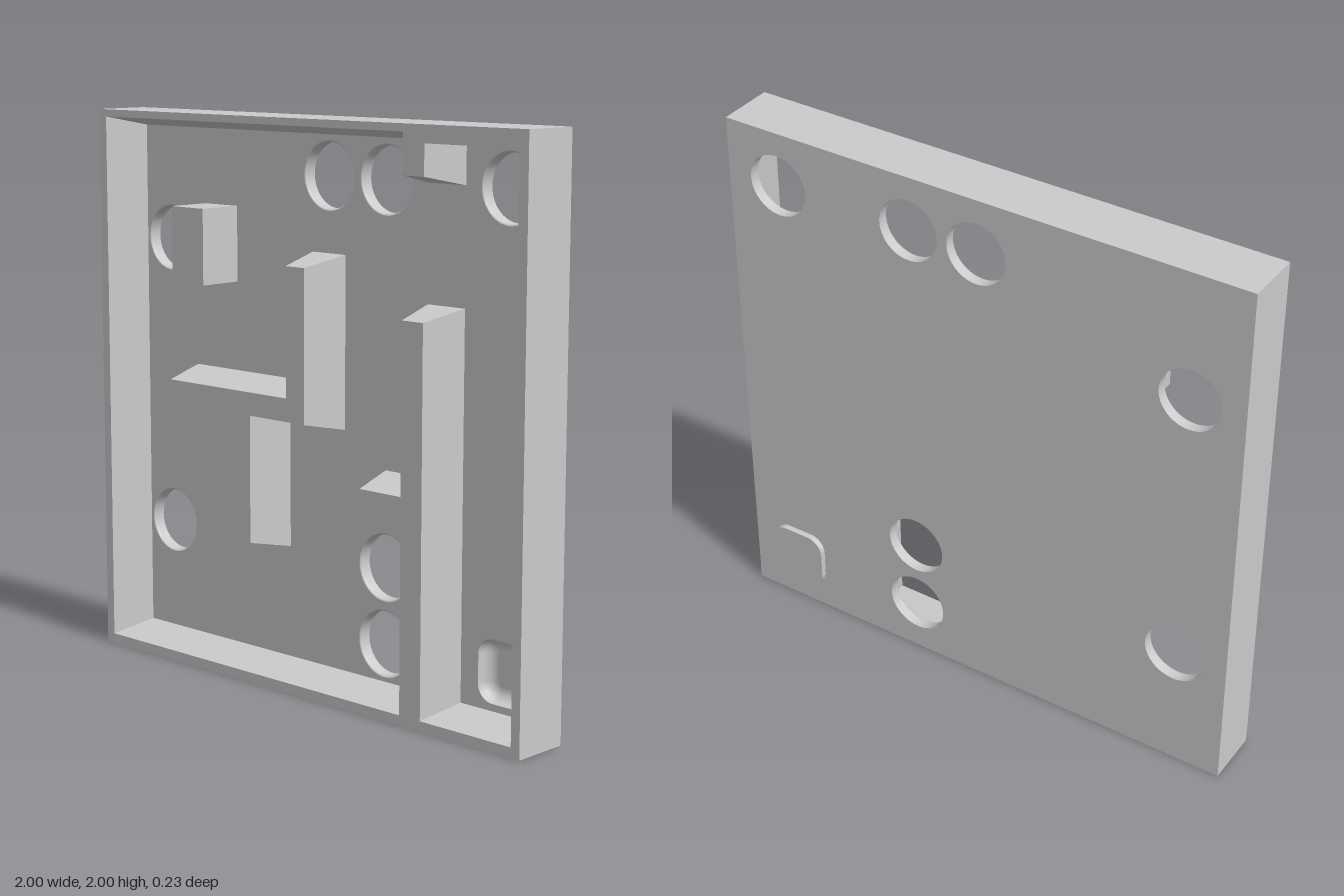
import * as THREE from 'three';

const FRONT = 0.117, BACK = -0.095, FLOOR = -0.05, NUB = -0.117, DRAFT = 0.034;
const HOLE_R = 0.114, LIP_R = 0.12;
const HOLES = [[0, 1.8], [0.265, 1.8], [0.795, 1.8], [-0.8, 1.535], [-0.8, 0.475], [0.265, 0.475], [0.265, 0.205]];

const material = new THREE.MeshStandardMaterial({ color: 0xcccccc });
const points = (list) => list.map(([x, y]) => new THREE.Vector2(x, y));

function add(group, name, geometry) {
  const mesh = new THREE.Mesh(geometry, material);
  mesh.name = name;
  group.add(mesh);
  return mesh;
}

// Moves every edge of a right-angled outline to its left; skip names an edge that stays
function inset(poly, amount, skip = -1) {
  const n = poly.length;
  const shift = (i) => {
    const d = poly[(i + 1) % n].clone().sub(poly[i]).normalize();
    return new THREE.Vector2(-d.y, d.x).multiplyScalar(i === skip ? 0 : amount);
  };
  return poly.map((p, i) => p.clone().add(shift((i + n - 1) % n)).add(shift(i)));
}

// Flat-shaded band of quads between a low and a high outline
function band(low, high, z0, z1) {
  const pos = [];
  low.forEach((a, i) => {
    const j = (i + 1) % low.length, b = low[j], c = high[j], d = high[i];
    pos.push(a.x, a.y, z0, b.x, b.y, z0, c.x, c.y, z1, a.x, a.y, z0, c.x, c.y, z1, d.x, d.y, z1);
  });
  const g = new THREE.BufferGeometry();
  g.setAttribute('position', new THREE.Float32BufferAttribute(pos, 3));
  g.computeVertexNormals();
  return g;
}

// Flat face with cut-outs, facing the front or the back
function face(outline, z, cutouts = [], holeRadius = 0, toBack = false) {
  const shape = new THREE.Shape(outline);
  cutouts.forEach((c) => shape.holes.push(new THREE.Path(c)));
  if (holeRadius) {
    HOLES.forEach(([x, y]) => shape.holes.push(new THREE.Path().absarc(x, y, holeRadius, 0, Math.PI * 2, true)));
  }
  const g = new THREE.ShapeGeometry(shape, 24).translate(0, 0, z);
  if (toBack) {
    g.index.array.reverse();
    g.computeVertexNormals();
  }
  return g;
}

// Rounded square outline of the pocket, shrunk by o
function ring(o) {
  const r = 0.06 - o, out = [];
  for (let c = 0; c < 4; c++) {
    const mid = Math.PI / 4 + c * Math.PI / 2;
    const cx = 0.795 + 0.05 * Math.sign(Math.cos(mid)), cy = 0.205 + 0.05 * Math.sign(Math.sin(mid));
    for (let k = 0; k <= 8; k++) {
      const t = (c + k / 8) * Math.PI / 2;
      out.push(new THREE.Vector2(cx + r * Math.cos(t), cy + r * Math.sin(t)));
    }
  }
  return out;
}

// Smooth skin through rounded squares given as [shrink, z]
function loft(sections) {
  const pos = [], idx = [];
  let n = 0;
  sections.forEach(([o, z], s) => {
    const pts = ring(o);
    n = pts.length;
    pts.forEach((p) => pos.push(p.x, p.y, z));
    if (s === 0) return;
    for (let j = 0; j < n; j++) {
      const k = (j + 1) % n, a = (s - 1) * n, b = s * n;
      idx.push(a + j, a + k, b + k, a + j, b + k, b + j);
    }
  });
  const g = new THREE.BufferGeometry();
  g.setAttribute('position', new THREE.Float32BufferAttribute(pos, 3));
  g.setIndex(idx);
  g.computeVertexNormals();
  return g;
}

export function createModel() {
  const model = new THREE.Group();
  model.name = 'mazeTray';

  const outer = points([[-1, 0], [1, 0], [1, 2], [-1, 2]]);

  // Inner outline at floor level, clockwise, including the long wall and the top stub
  const cavity = points([
    [-0.93, 0.07], [-0.93, 1.94], [0.45, 1.94], [0.45, 1.8], [0.61, 1.8], [0.61, 1.94], [0.93, 1.94], [0.93, 0.07],
    [0.61, 0.07], [0.61, 1.4], [0.45, 1.4], [0.45, 0.815], [0.265, 0.815], [0.265, 0.66], [0.45, 0.66], [0.45, 0.07],
  ]);
  const cavityTop = inset(cavity, DRAFT, 5); // the top right edge is upright

  // Tray shell
  add(model, 'outerSides', band(outer, outer, BACK, FRONT));
  add(model, 'rim', face(outer, FRONT, [cavityTop]));
  add(model, 'innerWalls', band(cavity, cavityTop, FLOOR, FRONT));
  add(model, 'floor', face(cavity, FLOOR, [ring(0)], LIP_R));
  add(model, 'backFace', face(outer, BACK, [ring(0)], HOLE_R, true));

  // Branching wall in the middle
  const branch = points([
    [-0.345, 0.475], [-0.19, 0.475], [-0.19, 0.93], [0.075, 0.93], [0.075, 1.535],
    [-0.08, 1.535], [-0.08, 1.08], [-0.665, 1.08], [-0.665, 0.93], [-0.345, 0.93],
  ]);
  const branchTop = inset(branch, DRAFT);
  add(model, 'branchWallSides', band(branch, branchTop, FLOOR, FRONT));
  add(model, 'branchWallTop', face(branchTop, FRONT));

  // Upright block
  const block = add(model, 'block', new THREE.BoxGeometry(0.16, 0.27, FRONT - FLOOR));
  block.position.set(-0.535, 1.535, (FRONT + FLOOR) / 2);

  // Holes with a rounded front lip
  const profile = [];
  for (let k = 0; k <= 5; k++) {
    const t = k / 5 * Math.PI / 2;
    profile.push([LIP_R - (LIP_R - HOLE_R) * Math.sin(t), FLOOR - 0.012 * (1 - Math.cos(t))]);
  }
  profile.push([HOLE_R, BACK]);
  HOLES.forEach(([x, y]) => {
    const hole = add(model, 'ballHole', new THREE.LatheGeometry(points(profile), 48).rotateX(Math.PI / 2));
    hole.position.set(x, y, 0);
  });

  // Finish pocket with a rounded bottom, and its bump on the back
  const depth = -0.105, fillet = 0.042, sections = [[0, FLOOR]];
  for (let k = 0; k <= 8; k++) {
    const t = k / 8 * Math.PI / 2;
    sections.push([fillet * (1 - Math.cos(t)), depth + fillet * (1 - Math.sin(t))]);
  }
  add(model, 'pocketSides', loft(sections));
  add(model, 'pocketBottom', face(ring(fillet), depth));
  add(model, 'backBumpSides', loft([[0, NUB], [0, BACK]]));
  add(model, 'backBumpFace', face(ring(0), NUB, [], 0, true));

  return model;
}
